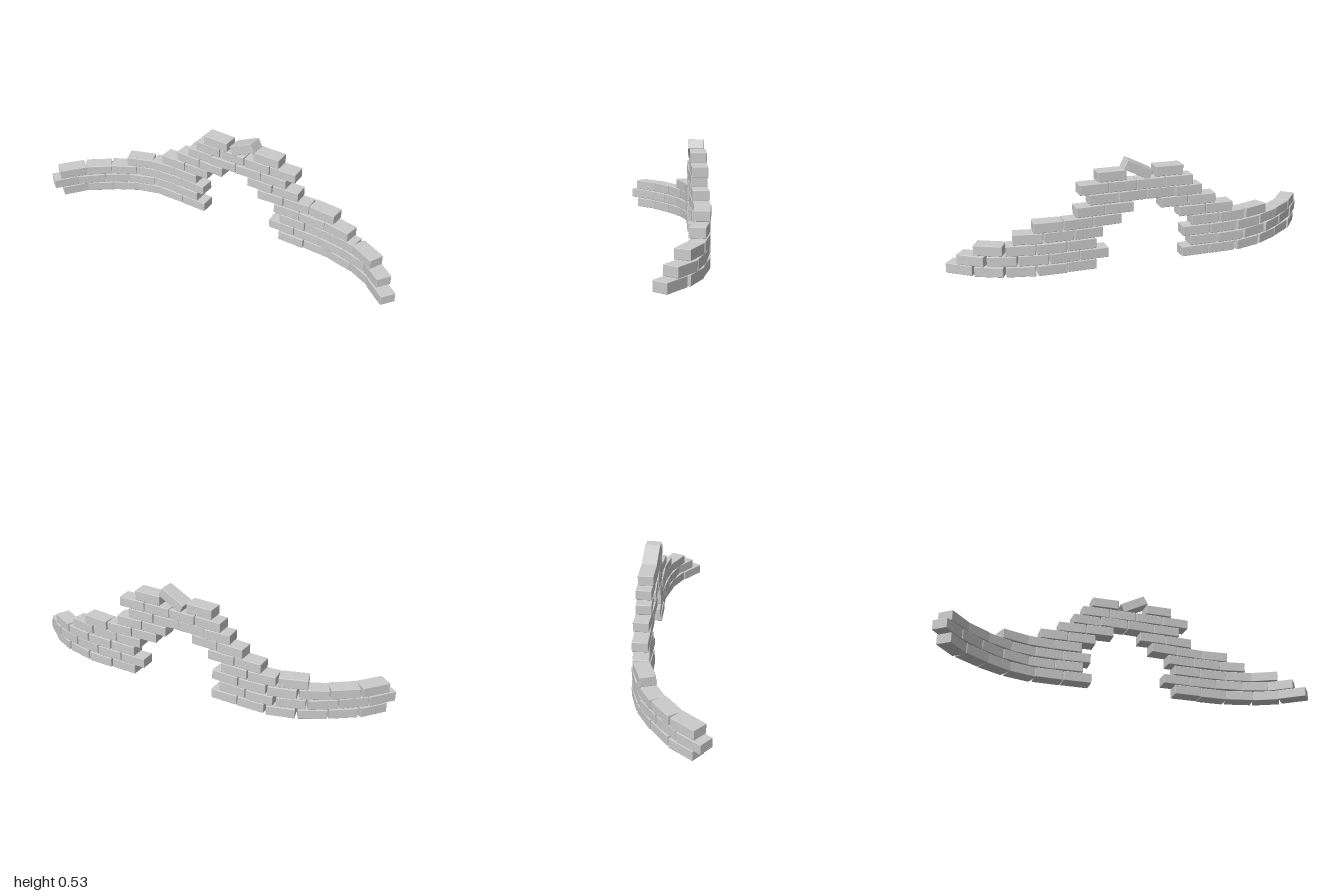
import * as THREE from 'three';
import { RoundedBoxGeometry } from 'three/addons/geometries/RoundedBoxGeometry.js';

const PITCH = 0.146;      // brick spacing along the wall
const ROW = 0.0543;       // course height

// Plan of the wall, as [x, z]; the middle entry lies at x = 0
const PLAN = [
  [-0.978, 0.187], [-0.85, 0.04], [-0.75, -0.04], [-0.65, -0.105], [-0.55, -0.145],
  [-0.43, -0.168], [-0.2, -0.165], [0, -0.16], [0.2, -0.16], [0.4, -0.16],
  [0.53, -0.157], [0.65, -0.14], [0.75, -0.113], [0.85, -0.063], [0.98, 0.042],
];

// Courses: [row, start measured along the wall from x = 0, brick count]
const COURSES = [
  [0, -1.026, 6], [0, 0.3, 5],
  [1, -1.07, 6], [1, 0.24, 5],
  [2, -1.03, 6], [2, 0.3, 4],
  [3, -0.64, 3], [3, 0.265, 3],
  [4, -0.423, 2], [4, 0.17, 3],
  [5, -0.327, 2], [5, 0.108, 2],
  [6, -0.253, 4],
  [7, -0.203, 4],
  [8, -0.153, 1], [8, 0.142, 1],
];

export function createModel() {
  const wall = new THREE.Group();
  wall.name = 'ruinedBrickWall';
  const material = new THREE.MeshStandardMaterial({ color: 0xcccccc });
  const brickShape = new RoundedBoxGeometry(0.142, 0.0505, 0.078, 2, 0.003);

  const path = new THREE.CatmullRomCurve3(PLAN.map(([x, z]) => new THREE.Vector3(x, 0, z)));
  path.arcLengthDivisions = 420;
  const lengths = path.getLengths();
  const total = lengths[420], middle = lengths[210];

  let seed = 7;
  const jitter = (amount) => {
    seed = (seed * 16807) % 2147483647;
    return (seed / 2147483647 * 2 - 1) * amount;
  };

  const addBrick = (name, x, y, z) => {
    const brick = new THREE.Mesh(brickShape, material);
    brick.name = name;
    brick.position.set(x, y, z);
    wall.add(brick);
    return brick;
  };

  // Laid bricks follow the curved plan, each slightly out of line
  for (const [row, start, count] of COURSES) {
    for (let i = 0; i < count; i++) {
      const u = THREE.MathUtils.clamp((middle + start + (i + 0.5) * PITCH) / total, 0, 1);
      const p = path.getPointAt(u), t = path.getTangentAt(u);
      const brick = addBrick('brick', p.x, 0.0275 + row * ROW, p.z + jitter(0.004));
      brick.rotation.y = Math.atan2(-t.z, t.x) + jitter(0.04);
    }
  }

  // Loose brick leaning on top of the arch
  addBrick('looseBrick', 0.078, 0.48, -0.155).rotation.set(0, -0.08, 0.46);
  return wall;
}
